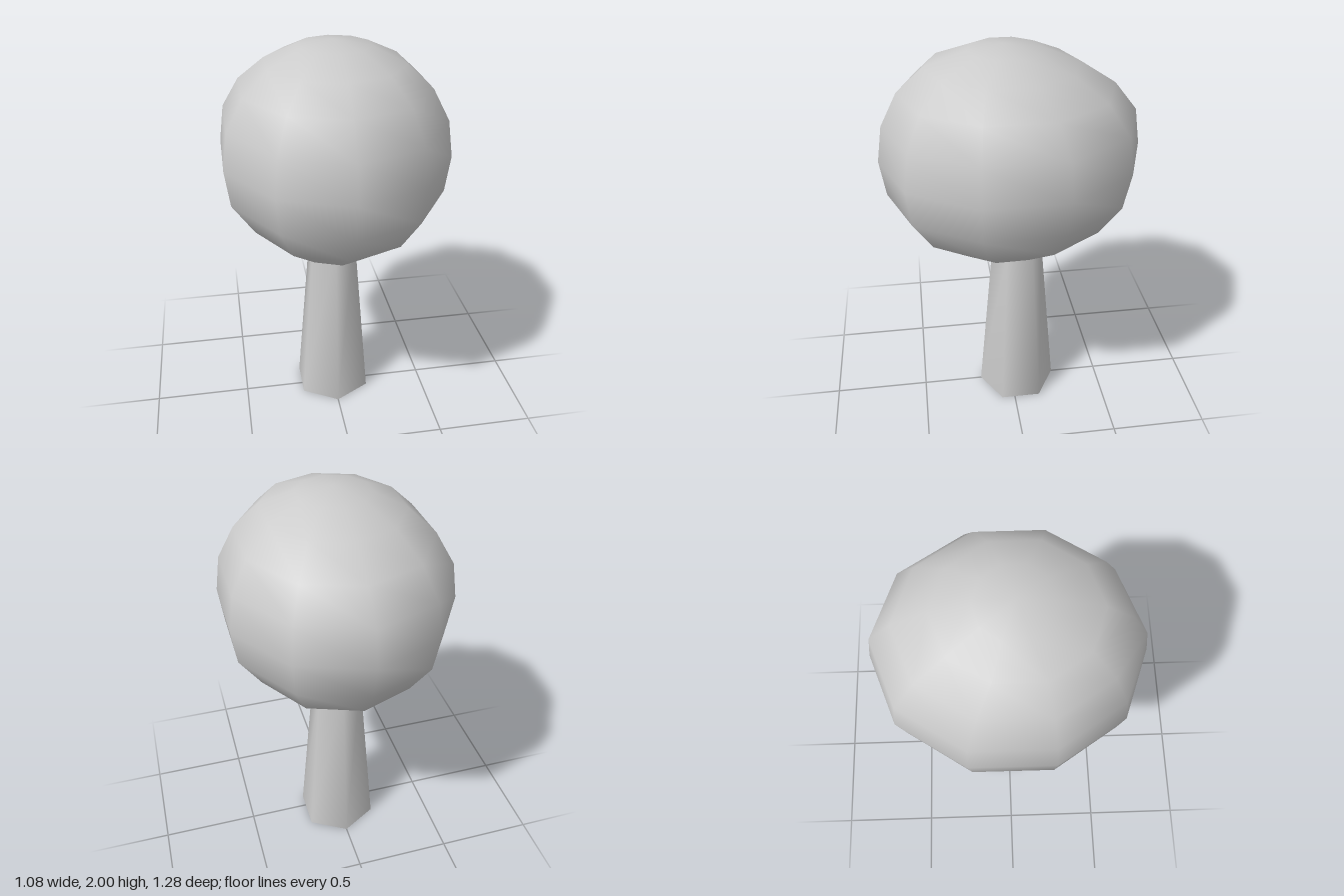
import * as THREE from 'three';
import { mergeVertices } from 'three/addons/utils/BufferGeometryUtils.js';

// Crown rings from top to bottom: [radius x, radius z, centre z, front y, back y]
const RINGS = [
  [0, 0, 0.03, 2.0, 2.0],
  [0.177, 0.176, 0.025, 1.975, 1.975],
  [0.335, 0.365, 0.035, 1.905, 1.9],
  [0.461, 0.515, 0.015, 1.79, 1.79],
  [0.545, 0.612, 0, 1.63, 1.65],
  [0.57, 0.64, 0, 1.45, 1.47],
  [0.545, 0.608, 0.005, 1.27, 1.29],
  [0.432, 0.498, 0.005, 1.105, 1.12],
  [0.222, 0.262, 0.02, 0.953, 0.962],
  [0.084, 0.09, 0.02, 0.887, 0.905],
  [0, 0, 0.02, 0.9, 0.9],
];

// Weld seams so that the smooth normals run all the way round
function weldSmooth(geometry) {
  geometry.deleteAttribute('uv');
  geometry.deleteAttribute('normal');
  const welded = mergeVertices(geometry, 1e-4);
  welded.computeVertexNormals();
  return welded;
}

// Ten-sided ball whose rings are reshaped into a slightly uneven crown
function crownGeometry() {
  const sides = 10;
  const geometry = new THREE.SphereGeometry(1, sides, RINGS.length - 1, Math.PI / 2);
  const pos = geometry.attributes.position;
  for (let i = 0; i < pos.count; i++) {
    const [rx, rz, cz, front, back] = RINGS[Math.floor(i / (sides + 1))];
    const angle = ((i % (sides + 1)) / sides) * Math.PI * 2;
    const c = Math.cos(angle);
    pos.setXYZ(i, Math.sin(angle) * rx, (front + back) / 2 + (c * (front - back)) / 2, cz + c * rz);
  }
  return weldSmooth(geometry);
}

export function createModel() {
  const group = new THREE.Group();
  group.name = 'tree';

  const crown = new THREE.Mesh(crownGeometry(), new THREE.MeshStandardMaterial({ color: 0xcccccc }));
  crown.name = 'crown';
  group.add(crown);

  // Open, tapered six-sided trunk that ends just inside the crown
  const height = 0.96;
  const trunk = new THREE.Mesh(
    weldSmooth(new THREE.CylinderGeometry(0.127, 0.21, height, 6, 1, true)),
    new THREE.MeshStandardMaterial({ color: 0xcccccc, side: THREE.DoubleSide })
  );
  trunk.name = 'trunk';
  trunk.position.set(0, height / 2, -0.034);
  group.add(trunk);

  return group;
}
